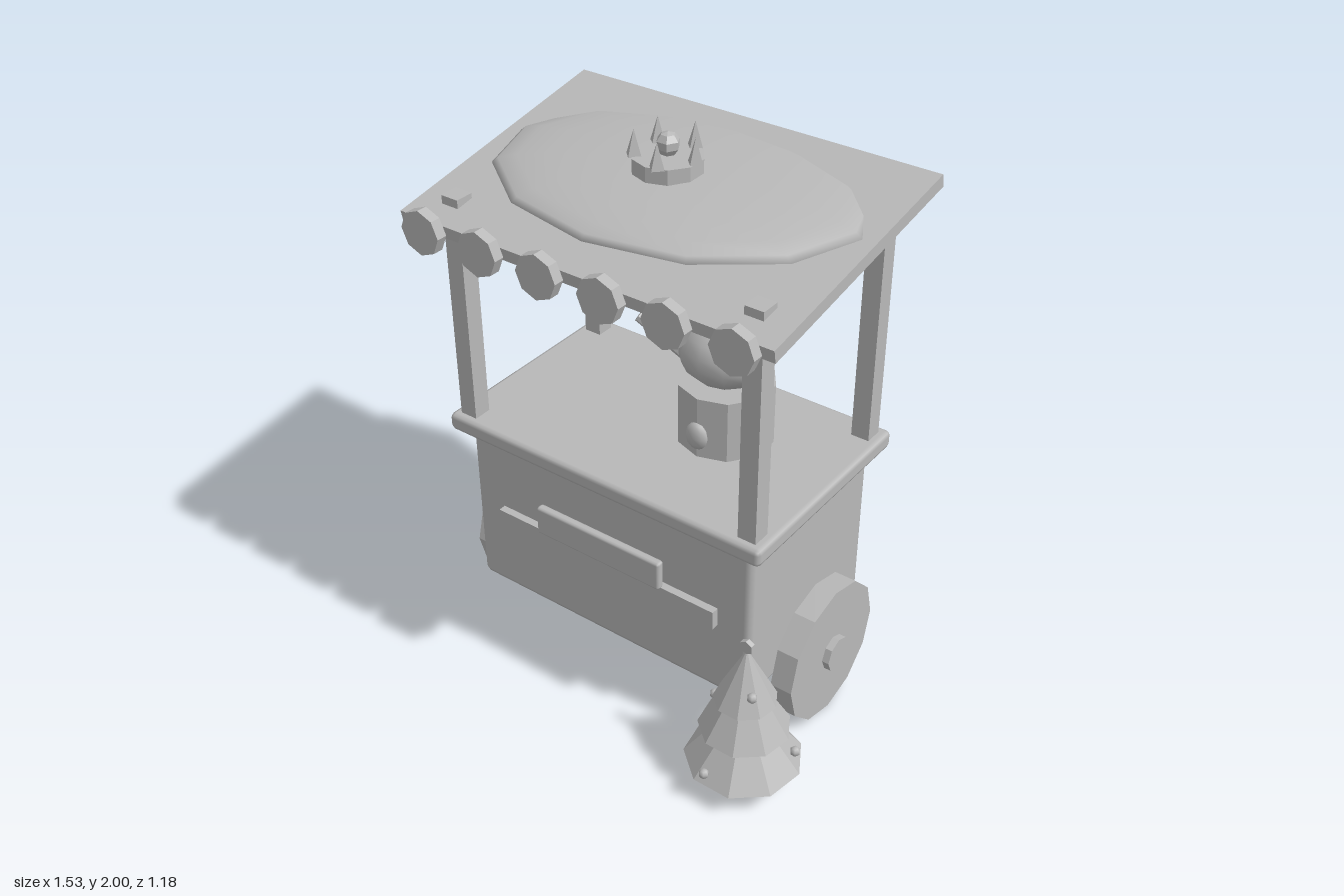
import * as THREE from 'three';
import { RoundedBoxGeometry } from 'three/addons/geometries/RoundedBoxGeometry.js';

const CX = -0.06, CZ = -0.04; // centre of the cart

export function createModel() {
  const model = new THREE.Group();
  const grey = new THREE.MeshStandardMaterial({ color: 0xb8b8b8 });

  const add = (name, geometry, x, y, z, parent = model) => {
    const mesh = new THREE.Mesh(geometry, grey);
    mesh.name = name;
    mesh.position.set(x, y, z);
    parent.add(mesh);
    return mesh;
  };
  // faceted copy of a geometry
  const flat = (geometry) => {
    const g = geometry.index ? geometry.toNonIndexed() : geometry;
    g.computeVertexNormals();
    return g;
  };
  const prism = (rTop, rBottom, h, sides) => flat(new THREE.CylinderGeometry(rTop, rBottom, h, sides));
  const group = (name) => {
    const g = new THREE.Group();
    g.name = name;
    model.add(g);
    return g;
  };

  // cart box, counter and front boards
  add('cartBody', new RoundedBoxGeometry(1.16, 0.64, 0.705, 1, 0.024), CX, 0.545, CZ);
  add('counter', new RoundedBoxGeometry(1.27, 0.065, 0.805, 1, 0.018), CX, 0.897, CZ);
  add('signBoard', new RoundedBoxGeometry(0.515, 0.11, 0.032, 1, 0.01), CX, 0.645, 0.352);
  add('frontStrip', new THREE.BoxGeometry(0.91, 0.072, 0.03), CX, 0.545, 0.325);

  // wheels with hubs
  for (const side of [-1, 1]) {
    const name = side > 0 ? 'left' : 'right';
    const wheel = prism(0.258, 0.258, 0.08, 12);
    wheel.rotateZ(Math.PI / 2);
    add(name + 'Wheel', wheel, CX + side * 0.65, 0.26, CZ);
    const hub = prism(0.063, 0.063, 0.11, 8);
    hub.rotateZ(Math.PI / 2);
    add(name + 'Hub', hub, CX + side * 0.66, 0.26, CZ);
  }

  // posts reach slightly through the front of the roof
  for (const side of [-1, 1]) {
    for (const [name, z] of [['frontPost', 0.3], ['backPost', -0.373]]) {
      add(name, new THREE.BoxGeometry(0.066, 0.83, 0.066), CX + side * 0.57, 1.335, z);
    }
  }

  // sloping roof with a scalloped front edge
  const roof = add('roof', new THREE.BoxGeometry(1.395, 0.045, 0.932), CX, 1.765, CZ);
  roof.rotation.x = 0.178;
  const scallops = group('scallops');
  for (let i = 0; i < 6; i++) {
    const disc = prism(0.077, 0.077, 0.038, 8);
    disc.rotateX(Math.PI / 2);
    add('scallop', disc, -0.643 + i * 0.233, 1.676, 0.442, scallops);
  }

  // shallow dome on the roof, closed underneath
  const dome = add('roofDome', new THREE.SphereGeometry(1, 12, 6, 0, Math.PI * 2, 0, Math.PI / 2), CX, 1.8, -0.107);
  dome.scale.set(0.65, 0.07, 0.49);
  const base = new THREE.CircleGeometry(1, 12);
  base.rotateX(Math.PI / 2);
  add('domeBase', base, CX, 1.8, -0.107).scale.set(0.65, 1, 0.49);

  // crown
  const crown = group('crown');
  crown.position.set(CX, 0, CZ);
  add('crownBand', prism(0.115, 0.115, 0.06, 10), 0, 1.885, 0, crown);
  for (let i = 0; i < 5; i++) {
    const a = (i * Math.PI * 2) / 5;
    add('crownPoint', prism(0, 0.029, 0.085, 4), Math.cos(a) * 0.103, 1.955, Math.sin(a) * 0.103, crown);
  }
  add('crownBall', flat(new THREE.SphereGeometry(0.04, 6, 5)), 0, 1.95, 0, crown);

  // urn with a rounded lid, spout and badge
  const urn = group('urn');
  add('urnBase', prism(0.167, 0.167, 0.225, 10), 0.132, 1.042, -0.1, urn);
  add('urnLid', new THREE.SphereGeometry(0.165, 12, 9), 0.132, 1.273, -0.1, urn).scale.y = 0.8;
  const from = new THREE.Vector3(0.03, 1.235, -0.04);
  const to = new THREE.Vector3(-0.135, 1.35, 0.02);
  const dir = to.clone().sub(from);
  const spout = add('spout', prism(0.02, 0.034, dir.length(), 8), 0, 0, 0, urn);
  spout.position.copy(from).lerp(to, 0.5);
  spout.quaternion.setFromUnitVectors(new THREE.Vector3(0, 1, 0), dir.normalize());
  add('badge', new THREE.SphereGeometry(0.05, 8, 6), 0.132, 1.012, 0.067, urn).scale.set(0.86, 1, 0.5);

  // small fir tree beside the cart
  const tree = group('tree');
  tree.position.set(0.563, 0, 0.39);
  add('trunk', prism(0.025, 0.028, 0.12, 8), 0, 0.06, 0, tree);
  for (const [r, y, h] of [[0.2, 0.085, 0.26], [0.155, 0.225, 0.26], [0.107, 0.345, 0.21]]) {
    add('branches', prism(0, r, h, 9), 0, y + h / 2, 0, tree).rotation.y = Math.PI;
  }
  const finial = prism(0.025, 0.025, 0.018, 6);
  finial.rotateX(Math.PI / 2);
  add('treeTop', finial, 0, 0.567, 0, tree);
  const baubles = [[0.057, 0.415, 0.05], [-0.112, 0.305, 0.01], [0, 0.295, -0.12],
    [-0.133, 0.18, -0.03], [-0.033, 0.13, 0.182], [0.162, 0.15, -0.058]];
  for (const [x, y, z] of baubles) add('bauble', new THREE.SphereGeometry(0.018, 6, 5), x, y, z, tree);

  return model;
}
